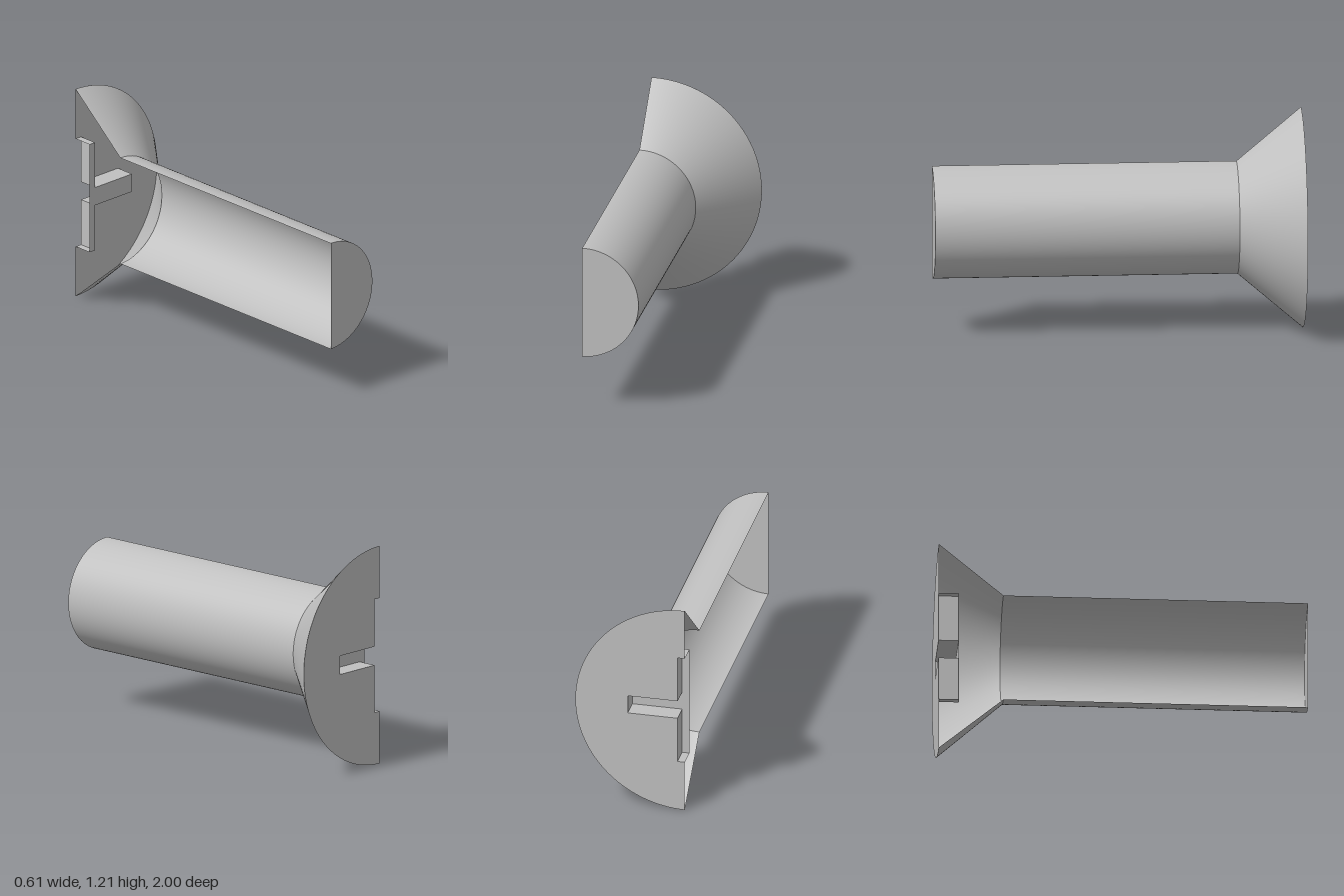
import * as THREE from 'three';

const HEAD_R = 0.607, SHAFT_R = 0.31;
const BACK = -1, NECK = -0.65, FRONT = 1, RECESS = -0.89;
const ARM = 0.316, HALF_V = 0.04, HALF_H = 0.052; // cross recess sizes

// Half of the cross outline, from bottom to top
const cross = [
  [0, -ARM], [HALF_V, -ARM], [HALF_V, -HALF_H], [ARM, -HALF_H],
  [ARM, HALF_H], [HALF_V, HALF_H], [HALF_V, ARM], [0, ARM],
];

// Open half tube along z, on the +x side
function halfTube(rFront, rBack, z0, z1) {
  const g = new THREE.CylinderGeometry(rFront, rBack, z1 - z0, 64, 1, true, 0, Math.PI);
  return g.rotateX(Math.PI / 2).translate(0, 0, (z0 + z1) / 2);
}

// Flat shape drawn with x mirrored, turned to face -z
function backPlate(shape, z) {
  return new THREE.ShapeGeometry(shape, 64).rotateY(Math.PI).translate(0, 0, z);
}

// Side walls of the recess, facing into it
function recessWalls() {
  const pos = [];
  for (let i = 0; i < cross.length - 1; i++) {
    const [a, b] = [cross[i], cross[i + 1]];
    const a0 = [...a, BACK], a1 = [...a, RECESS], b0 = [...b, BACK], b1 = [...b, RECESS];
    pos.push(...a0, ...a1, ...b1, ...a0, ...b1, ...b0);
  }
  const g = new THREE.BufferGeometry();
  g.setAttribute('position', new THREE.Float32BufferAttribute(pos, 3));
  g.computeVertexNormals();
  return g;
}

export function createModel() {
  const group = new THREE.Group();
  group.name = 'halfScrew';
  const steel = new THREE.MeshStandardMaterial({ color: 0xc0c0c0, side: THREE.DoubleSide });
  steel.name = 'steel';
  const add = (name, geometry) => {
    const mesh = new THREE.Mesh(geometry, steel);
    mesh.name = name;
    group.add(mesh);
  };

  // Shaft and its end
  add('shaft', halfTube(SHAFT_R, SHAFT_R, NECK, FRONT));
  add('shaftEnd', new THREE.CircleGeometry(SHAFT_R, 64, -Math.PI / 2, Math.PI).translate(0, 0, FRONT));

  // Countersunk head
  add('headCone', halfTube(SHAFT_R, HEAD_R, BACK, NECK));
  const mirrored = cross.map(([x, y]) => new THREE.Vector2(-x, y));
  const face = new THREE.Shape();
  face.moveTo(0, HEAD_R);
  for (const p of [...mirrored].reverse()) face.lineTo(p.x, p.y);
  face.lineTo(0, -HEAD_R);
  face.absarc(0, 0, HEAD_R, Math.PI * 1.5, Math.PI / 2, true);
  add('headFace', backPlate(face, BACK));

  // Cross recess
  add('recessWalls', recessWalls());
  add('recessFloor', backPlate(new THREE.Shape(mirrored), RECESS));

  group.position.set(-HEAD_R / 2, HEAD_R, 0);
  return group;
}
